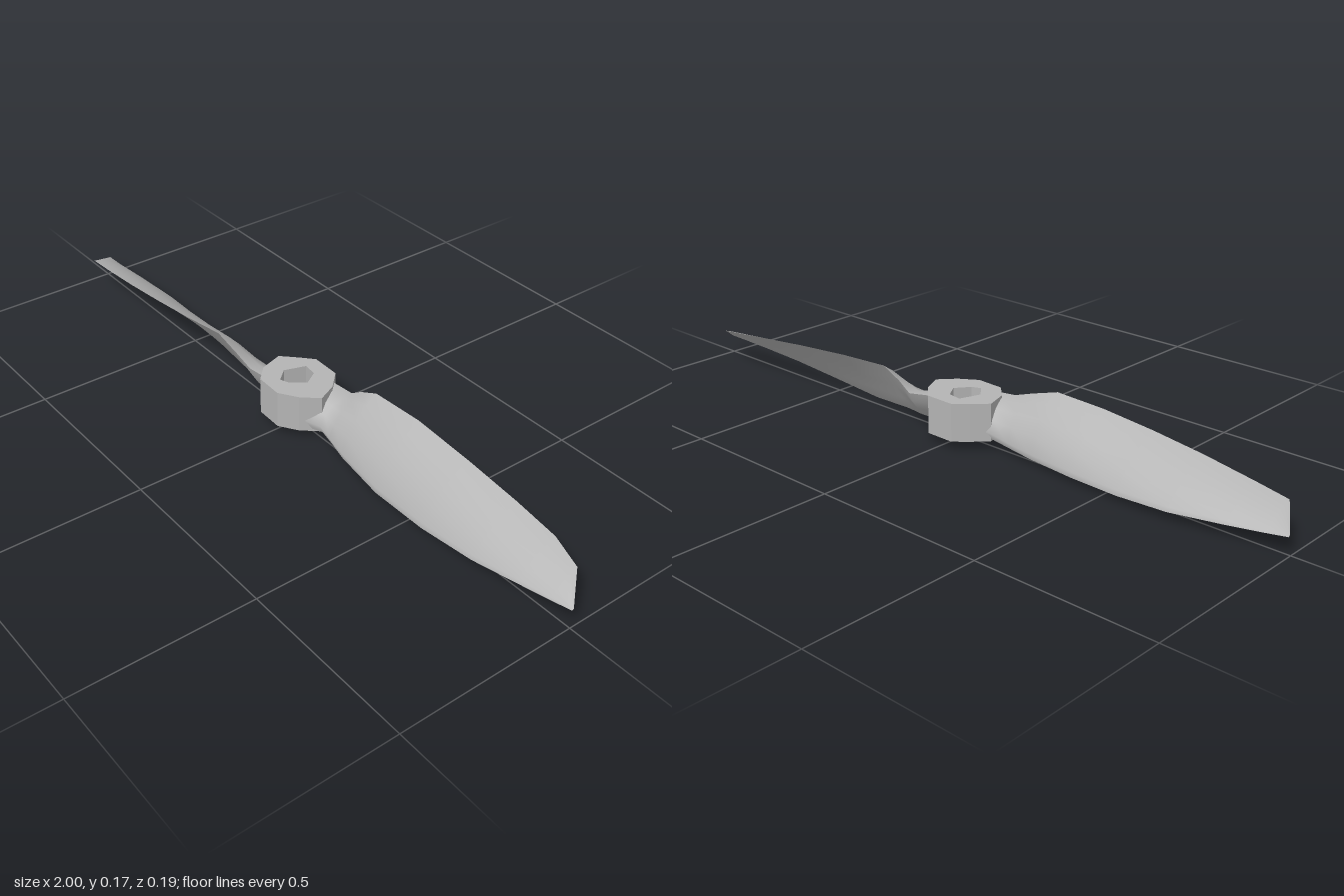
import * as THREE from 'three';

// Blade stations: [distance, low edge z, low edge y, high edge z, high edge y, thickness]
const rightStations = [
  [0.06, 0.04, 0.035, -0.075, 0.122, 0.07],
  [0.12, 0.01, 0.032, -0.087, 0.116, 0.055],
  [0.16, 0.012, 0.021, -0.086, 0.142, 0.04],
  [0.22, 0.022, 0.012, -0.086, 0.17, 0.028],
  [0.37, 0.036, 0.0, -0.097, 0.167, 0.021],
  [0.55, 0.043, 0.009, -0.098, 0.152, 0.017],
  [0.72, 0.038, 0.024, -0.097, 0.134, 0.013],
  [0.85, 0.022, 0.038, -0.093, 0.118, 0.009],
  [0.94, 0.01, 0.047, -0.072, 0.1, 0.006],
  [1.0, 0.0, 0.053, -0.004, 0.056, 0.002],
];
const leftStations = [
  [0.06, 0.04, 0.035, -0.06, 0.128, 0.07],
  [0.12, 0.022, 0.032, -0.07, 0.13, 0.055],
  [0.18, 0.022, 0.024, -0.072, 0.15, 0.04],
  [0.26, 0.028, 0.018, -0.075, 0.174, 0.028],
  [0.4, 0.042, 0.017, -0.087, 0.163, 0.021],
  [0.55, 0.05, 0.018, -0.09, 0.147, 0.017],
  [0.7, 0.053, 0.026, -0.088, 0.129, 0.013],
  [0.85, 0.036, 0.038, -0.08, 0.109, 0.009],
  [0.945, 0.022, 0.046, -0.073, 0.096, 0.006],
  [1.0, 0.015, 0.052, 0.011, 0.056, 0.002],
];

// Chord positions with half-thickness share
const profile = [[0, 0], [0.06, 0.7], [0.3, 1], [0.55, 0.95], [0.8, 0.6], [1, 0]];

// One face of a blade lofted through its stations; side is +1 upper, -1 lower
function bladeFace(stations, side) {
  const pos = [], idx = [], n = profile.length;
  for (const [x, lz, ly, hz, hy, t] of stations) {
    const dz = hz - lz, dy = hy - ly, len = Math.hypot(dz, dy);
    for (const [u, w] of profile) {
      const camber = 0.05 * len * 4 * u * (1 - u);
      const off = side * w * t / 2 + camber;
      pos.push(x, ly + dy * u - dz / len * off, lz + dz * u + dy / len * off);
    }
  }
  for (let i = 0; i < stations.length - 1; i++) {
    for (let j = 0; j < n - 1; j++) {
      const a = i * n + j, b = a + n;
      if (side > 0) idx.push(a, b, a + 1, b, b + 1, a + 1);
      else idx.push(a, a + 1, b, b, a + 1, b + 1);
    }
  }
  const g = new THREE.BufferGeometry();
  g.setAttribute('position', new THREE.Float32BufferAttribute(pos, 3));
  g.setIndex(idx);
  g.computeVertexNormals();
  return g;
}

export function createModel() {
  const model = new THREE.Group();
  model.name = 'propeller';
  const grey = new THREE.MeshStandardMaterial({ color: 0xb4b4b4 });
  grey.name = 'grey plastic';

  // Faceted hub with a shaft hole; points are [x, z]
  const toPoints = (list) => list.map(([x, z]) => new THREE.Vector2(x, -z));
  const shape = new THREE.Shape(toPoints([
    [-0.06, 0.08], [0.02, 0.083], [0.07, 0.05], [0.11, 0.005], [0.085, -0.05],
    [0.04, -0.096], [-0.045, -0.097], [-0.08, -0.065], [-0.12, -0.025], [-0.1, 0.04],
  ]));
  shape.holes.push(new THREE.Path(toPoints([
    [-0.055, 0.005], [-0.035, -0.055], [0.005, -0.05], [0.03, -0.01], [0.0, 0.03], [-0.025, 0.04],
  ])));
  const hubGeometry = new THREE.ExtrudeGeometry(shape, { depth: 0.107, bevelEnabled: false });
  hubGeometry.rotateX(-Math.PI / 2);
  const hub = new THREE.Mesh(hubGeometry, grey);
  hub.name = 'hub';
  hub.position.y = 0.026;
  model.add(hub);

  // Two twisted blades, the second turned half way round
  const blades = [['leftBlade', rightStations, 0], ['rightBlade', leftStations, Math.PI]];
  for (const [name, stations, turn] of blades) {
    const blade = new THREE.Group();
    blade.name = name;
    blade.rotation.y = turn;
    for (const side of [1, -1]) {
      const face = new THREE.Mesh(bladeFace(stations, side), grey);
      face.name = side > 0 ? 'upperFace' : 'lowerFace';
      blade.add(face);
    }
    model.add(blade);
  }
  return model;
}
